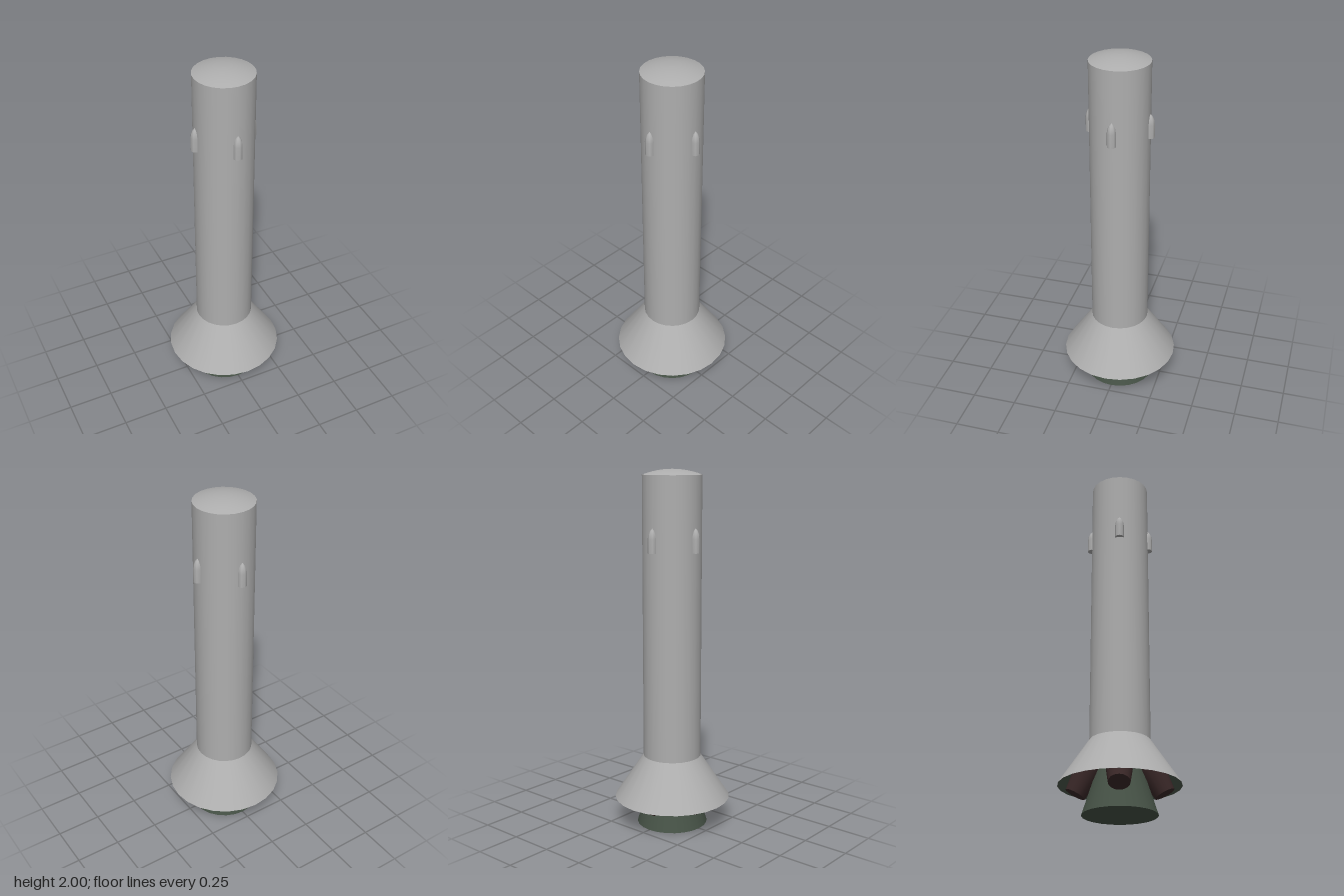
import * as THREE from 'three';

const SIDES = 24;

function material(name, color) {
  const m = new THREE.MeshStandardMaterial({ color });
  m.name = name;
  return m;
}

// Revolved surface from [radius, height] pairs; rising profiles face outward
function lathe(name, profile, mat, sides = SIDES) {
  const points = profile.map(([r, y]) => new THREE.Vector2(r, y));
  const mesh = new THREE.Mesh(new THREE.LatheGeometry(points, sides), mat);
  mesh.name = name;
  return mesh;
}

export function createModel() {
  const grey = material('hull grey', 0xaeaeae);
  const green = material('dark green', 0x465246);
  const brown = material('dark brown', 0x3a2828);

  const model = new THREE.Group();
  model.name = 'rocketBooster';

  // Hull tube with a shallow domed cap
  model.add(lathe('hullTube', [[0.163, 0.4], [0.163, 1.97]], grey));
  const dome = [];
  for (let i = 0; i <= 6; i++) {
    const r = 0.163 * (1 - i / 6);
    dome.push([r, 1.97 + 0.03 * (1 - (r / 0.163) ** 2)]);
  }
  model.add(lathe('domeCap', dome, grey));

  // Flared skirt with a dark inner lining and ceiling
  model.add(lathe('skirt', [[0.327, 0.155], [0.163, 0.4]], grey));
  model.add(lathe('skirtLining', [[0.161, 0.398], [0.325, 0.155]], green));
  model.add(lathe('skirtCeiling', [[0, 0.398], [0.161, 0.398]], green));
  model.add(lathe('skirtRim', [[0.325, 0.155], [0.327, 0.155]], grey));

  // Main engine bell
  const bell = new THREE.Mesh(new THREE.CylinderGeometry(0.075, 0.2, 0.39, SIDES), green);
  bell.name = 'mainEngineBell';
  bell.position.y = 0.195;
  model.add(bell);

  // Four outward-tilted small engines and four bullet-shaped pods
  const engineLength = 0.17;
  const engineGeometry = new THREE.CylinderGeometry(0.078, 0.057, engineLength, 16);
  engineGeometry.translate(0, engineLength / 2, 0);
  const podProfile = [
    [0.025, 1.56], [0.025, 1.635], [0.021, 1.66], [0.012, 1.68], [0, 1.692],
  ];
  for (let i = 0; i < 4; i++) {
    const quarter = new THREE.Group();
    quarter.name = 'quarter' + (i + 1);
    quarter.rotation.y = (i * Math.PI) / 2;

    const engine = new THREE.Mesh(engineGeometry, brown);
    engine.name = 'smallEngine';
    engine.position.set(0, 0.112, 0.232);
    engine.rotation.x = -0.48;
    quarter.add(engine);

    const pod = lathe('pod', podProfile, grey, 8);
    pod.position.z = 0.163;
    const podBase = lathe('podBase', [[0, 1.56], [0.025, 1.56]], grey, 8);
    podBase.position.z = 0.163;
    quarter.add(pod, podBase);
    model.add(quarter);
  }

  return model;
}
